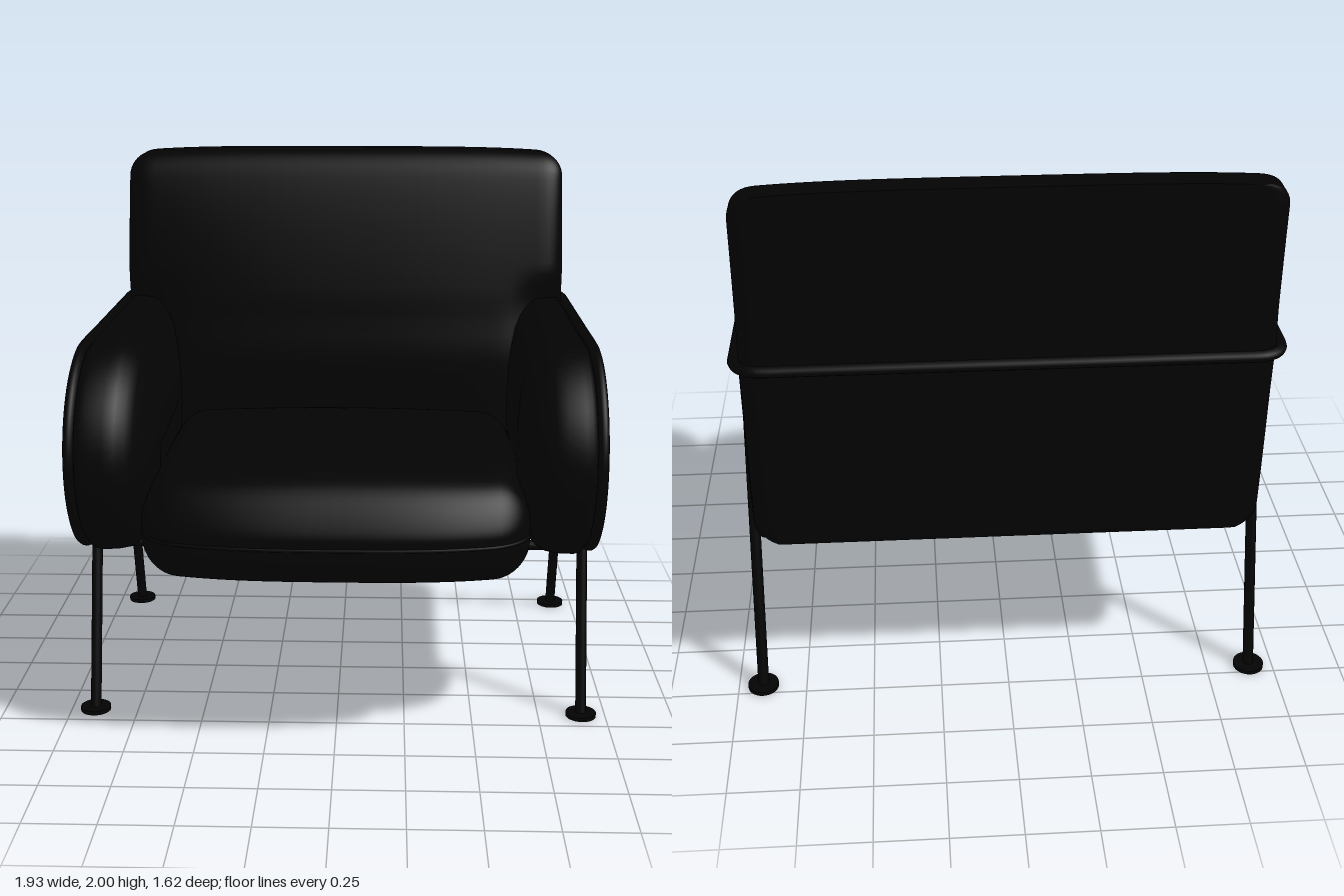
import * as THREE from 'three';
import { mergeVertices } from 'three/addons/utils/BufferGeometryUtils.js';

const fabric = new THREE.MeshStandardMaterial({ color: 0x030303 });
const metal = new THREE.MeshStandardMaterial({ color: 0x030303 });
const V = (x, y, z) => new THREE.Vector3(x, y, z);
const { smoothstep, lerp, clamp } = THREE.MathUtils;

function add(parent, name, geometry, material) {
  const mesh = new THREE.Mesh(geometry, material);
  mesh.name = name;
  parent.add(mesh);
  return mesh;
}

// Moves a point of the unit cube (-1..1) onto a rounded box, half sizes h, radius r
function roundPoint(p, h, r) {
  p.multiply(h);
  const core = p.clone().clamp(V(r - h.x, r - h.y, r - h.z), V(h.x - r, h.y - r, h.z - r));
  return p.sub(core).normalize().multiplyScalar(r).add(core);
}

// Upholstered block: dense rounded box whose points are then shaped by a rule
function cushion(h, r, shape) {
  let g = new THREE.BoxGeometry(2, 2, 2, 44, 44, 44);
  g.deleteAttribute('normal');
  g.deleteAttribute('uv');
  g = mergeVertices(g, 1e-4);
  const pos = g.attributes.position;
  const p = V(0, 0, 0);
  for (let i = 0; i < pos.count; i++) {
    p.fromBufferAttribute(pos, i);
    // crowd the grid lines towards the edges
    p.set(...p.toArray().map((u) => Math.sin((u * Math.PI) / 2)));
    shape(roundPoint(p, h, r));
    pos.setXYZ(i, p.x, p.y, p.z);
  }
  g.computeVertexNormals();
  return g;
}

function tube(points, radius, segments, closed = false) {
  const curve = new THREE.CatmullRomCurve3(points, closed, 'centripetal');
  return new THREE.TubeGeometry(curve, segments, radius, 10, closed);
}

// Seat: crowned top falling to the nose, bowed front, hollowed underside
const seatHalf = V(0.68, 0.16, 0.63);
const seatRadius = 0.13;
function shapeSeat(p) {
  const u = p.x / seatHalf.x, w = p.z / seatHalf.z;
  if (p.y > 0) {
    p.y += (p.y / 0.16) * (0.07 * (1 - u * u * 0.5) * (1 - w ** 4) - (w > 0 ? 0.065 * w ** 7 : 0));
  } else {
    const hollow = smoothstep(0.92 - Math.abs(u), 0, 0.12) * smoothstep(0.4 - w, 0, 0.15) * smoothstep(w + 0.92, 0, 0.12);
    p.y += 0.06 * hollow * smoothstep(-p.y, 0.1, 0.16);
  }
  if (p.z > 0) p.z -= 0.1 * w * Math.abs(u) ** 3;
  p.y += 0.79;
  p.z += 0.173;
  return p;
}

// Back: leaning rear face with sharp edges, front face curling over to the top
const backHalf = V(0.895, 0.685, 0.15);
const backRadius = 0.09;
function shapeBack(p) {
  const u = Math.abs(p.x) / backHalf.x, y = p.y + 1.315;
  const t = clamp((y - 1.4) / 0.6, 0, 1);
  const q = clamp((Math.abs(p.y) - 0.595) / backRadius, 0, 1);
  const rear = -0.7 - 0.09 * Math.sqrt(clamp((y - 0.63) / 1.37, 0, 1));
  // the ends swell into a lobe above the arms
  const tuck = 0.05 * smoothstep(u, 0.72, 0.95) * (1 - smoothstep(y, 1.38, 1.52));
  const front = -0.4 - 0.04 * smoothstep(y, 1.15, 1.42) - 0.06 * u ** 3 * (1 - t) - tuck
    - 0.13 * t - 0.09 * (1 - Math.sqrt(1 - t * t));
  // keep the top and bottom edges rounded at the front only
  const cut = 0.3 * (1 - Math.sqrt(1 - q * q));
  const k = ((p.z / backHalf.z + 1) / 2 - cut) / (1 - cut);
  p.z = lerp(rear, Math.max(front, rear + 0.02), k);
  p.x *= 1 - 0.01 * t;
  p.y = y - 0.02 * u ** 4 * t * t;
  return p;
}

// Arm: rings of the side outline, drawn in towards its spine at both faces
function armGeometry(side) {
  const outline = [[-0.7, 1.41], [-0.4, 1.41], [0, 1.41]];
  for (let i = 0; i <= 32; i++) {
    const a = (i / 32) * Math.PI;
    outline.push([0.3 + 0.43 * Math.sin(a), 1.02 + 0.39 * Math.cos(a)]);
  }
  outline.push([0, 0.63], [-0.4, 0.63], [-0.66, 0.63], [-0.68, 0.85], [-0.69, 1.15]);
  const sections = [
    [0.9, 0.39], [0.9, 0.1], [0.897, 0.05], [0.888, 0.025], [0.872, 0.006], [0.85, 0], [0.79, 0.002], [0.75, 0.01],
    [0.718, 0.03], [0.692, 0.06], [0.67, 0.11], [0.653, 0.19], [0.644, 0.28], [0.642, 0.39],
  ];
  const n = outline.length, pos = [], idx = [];
  for (const [x, inset] of sections) {
    for (const [z, y] of outline) {
      const t = inset / 0.39;
      const pz = lerp(z, clamp(z, -0.6, 0.33), t);
      // the inner face thins a little towards the back
      const thin = 0.03 * smoothstep(0.8 - x, 0, 0.1) * clamp((0.4 - pz) / 0.9, 0, 1);
      pos.push(side * (x + thin), lerp(y, 1.02, t), pz);
    }
  }
  for (let i = 0; i < sections.length - 1; i++) {
    for (let j = 0; j < n; j++) {
      const a = i * n + j, b = i * n + ((j + 1) % n), c = a + n, d = b + n;
      if (side > 0) idx.push(a, c, b, b, c, d);
      else idx.push(a, b, c, b, d, c);
    }
  }
  const g = new THREE.BufferGeometry();
  g.setAttribute('position', new THREE.Float32BufferAttribute(pos, 3));
  g.setIndex(idx);
  g.computeVertexNormals();
  return g;
}

// Inverted hairpin that forms the front and rear leg of one side
function legPoints(x) {
  const pts = [0.01, 0.4, 0.8, 1.06].map((y) => V(x, y, 0.41 - 0.275 * y));
  const rear = pts.map((p) => V(x, p.y, -0.3 - p.z)).reverse();
  for (let i = 0; i <= 14; i++) {
    const a = 0.268 + (i / 14) * (Math.PI - 0.536);
    pts.push(V(x, 1.089 + 0.251 * Math.sin(a), -0.15 + 0.251 * Math.cos(a)));
  }
  return [...pts, ...rear];
}

// Half of the rail: round the arm front, along the side, round the rear corner
function railHalf(s) {
  const pts = [V(s * 0.91, 0.66, 0.235)];
  for (let i = 0; i <= 20; i++) {
    const a = Math.PI * (1 - i / 20);
    pts.push(V(s * 0.91, 1.02 + 0.36 * Math.cos(a), 0.3 + 0.385 * Math.sin(a)));
  }
  pts.push(V(s * 0.91, 1.38, 0), V(s * 0.91, 1.38, -0.4), V(s * 0.91, 1.38, -0.68));
  for (let i = 0; i <= 6; i++) {
    const a = (i / 6) * Math.PI / 2;
    pts.push(V(s * (0.82 + 0.09 * Math.cos(a)), 1.38, -0.705 - 0.09 * Math.sin(a)));
  }
  pts.push(V(s * 0.7, 1.38, -0.795), V(s * 0.3, 1.38, -0.795));
  return pts;
}

export function createModel() {
  const chair = new THREE.Group();
  chair.name = 'armchair';

  add(chair, 'seatCushion', cushion(seatHalf, seatRadius, shapeSeat), fabric);
  add(chair, 'backrest', cushion(backHalf, backRadius, shapeBack), fabric);

  // Piping around the seat
  const piping = [];
  for (let i = 0; i < 64; i++) {
    const a = (i / 64) * Math.PI * 2, c = Math.cos(a), s = Math.sin(a);
    const m = Math.max(Math.abs(c), Math.abs(s));
    piping.push(shapeSeat(roundPoint(V(c / m, -0.05, s / m), seatHalf, seatRadius)));
  }
  add(chair, 'seatPiping', tube(piping, 0.006, 160, true), fabric);

  for (const s of [1, -1]) {
    const side = s > 0 ? 'left' : 'right';
    add(chair, side + 'Arm', armGeometry(s), fabric);
    add(chair, side + 'Legs', tube(legPoints(s * 0.91), 0.02, 120), metal);
    for (const [name, z] of [['FrontFoot', 0.41], ['RearFoot', -0.71]]) {
      const foot = add(chair, side + name, new THREE.CylinderGeometry(0.056, 0.056, 0.015, 32), metal);
      foot.position.set(s * 0.91, 0.0075, z);
    }
  }

  // Rail wrapping the arms and back
  const rail = [...railHalf(1), ...railHalf(-1).reverse()];
  add(chair, 'rail', tube(rail, 0.02, 320), metal);

  // Bars under the seat joining the two sides
  for (const [name, z] of [['frontCrossbar', 0.242], ['rearCrossbar', -0.542]]) {
    const bar = add(chair, name, new THREE.CylinderGeometry(0.019, 0.019, 1.82, 12), metal);
    bar.rotation.z = Math.PI / 2;
    bar.position.set(0, 0.612, z);
  }
  return chair;
}
